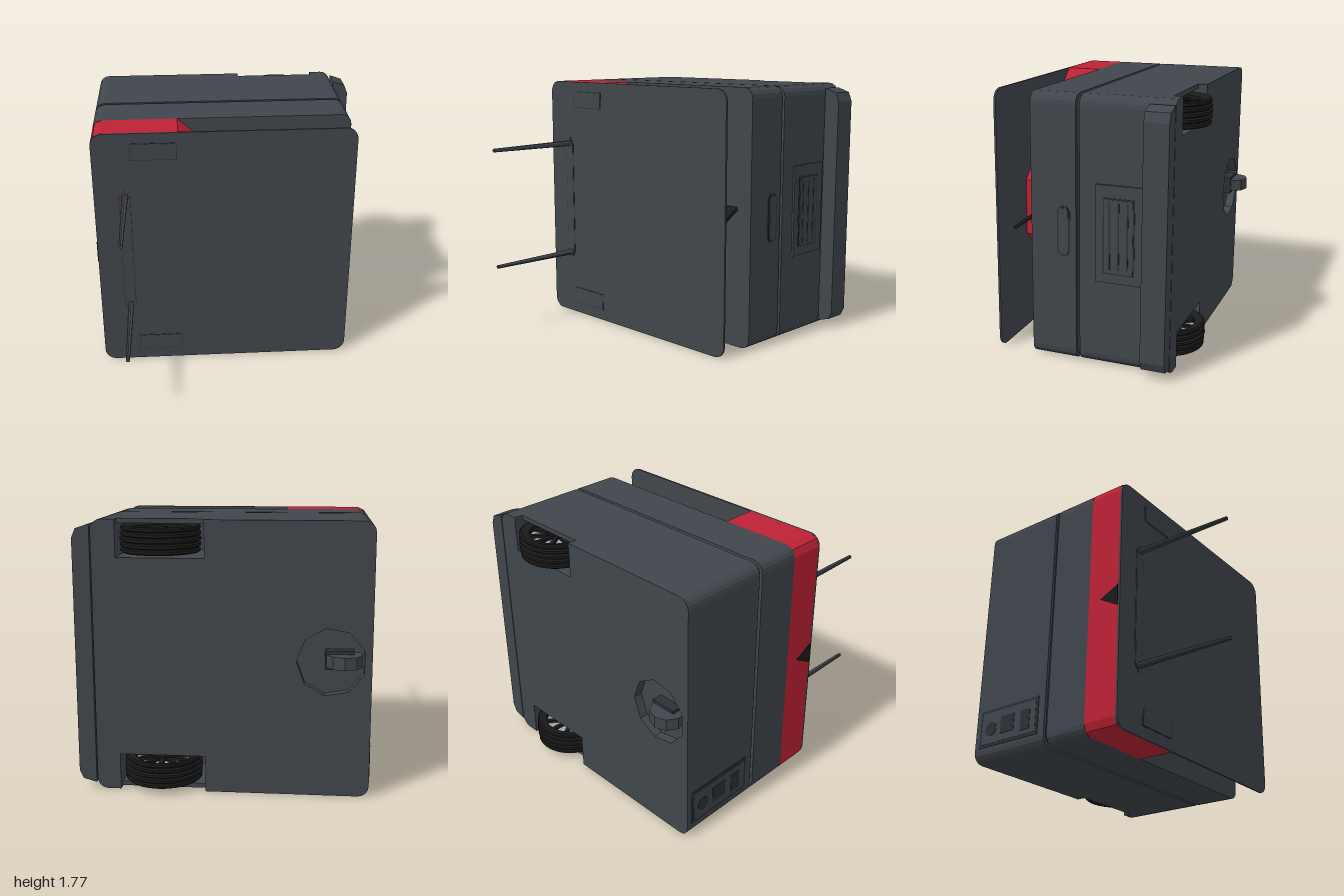
import * as THREE from 'three';

const mat = (name, color, extra = {}) => {
  const m = new THREE.MeshStandardMaterial({ color, ...extra });
  m.name = name;
  return m;
};

export function createModel() {
  const root = new THREE.Group();
  const grey = mat('charcoal shell', 0x40464c);
  const red = mat('red deck', 0xbe2235);
  const black = mat('black rubber', 0x1b1b1c);
  const silver = mat('light hub', 0xa4a4ac);
  const dark = mat('dark trim', 0x2c3035);

  const add = (name, geo, m, parent = root) => {
    const mesh = new THREE.Mesh(geo, m);
    mesh.name = name;
    parent.add(mesh);
    return mesh;
  };
  const toShape = pts => new THREE.Shape(pts.map(p => new THREE.Vector2(p[0], p[1])));
  // Prism of an x-y outline between two depths
  const prism = (name, pts, z0, z1, m, holes = []) => {
    const s = toShape(pts);
    holes.forEach(h => s.holes.push(toShape(h)));
    const g = new THREE.ExtrudeGeometry(s, { depth: z1 - z0, bevelEnabled: false });
    g.translate(0, 0, z0);
    return add(name, g, m);
  };
  const box = (name, x0, x1, y0, y1, z0, z1, m) => {
    const g = new THREE.BoxGeometry(x1 - x0, y1 - y0, z1 - z0);
    g.translate((x0 + x1) / 2, (y0 + y1) / 2, (z0 + z1) / 2);
    return add(name, g, m);
  };
  // Rounded rectangle, with optional extra points after the top right and bottom left corners
  const outline = (x0, y0, x1, y1, r, n = 4, top = [], bottom = []) => {
    const pts = [];
    const corner = (cx, cy, a) => {
      for (let i = 0; i <= n; i++) {
        const t = a + (i / n) * Math.PI / 2;
        pts.push([cx + r * Math.cos(t), cy + r * Math.sin(t)]);
      }
    };
    corner(x1 - r, y0 + r, -Math.PI / 2);
    corner(x1 - r, y1 - r, 0);
    pts.push(...top);
    corner(x0 + r, y1 - r, Math.PI / 2);
    corner(x0 + r, y0 + r, Math.PI);
    pts.push(...bottom);
    return pts;
  };
  const rect = (x0, y0, x1, y1) => [[x0, y0], [x1, y0], [x1, y1], [x0, y1]];

  const H = 1.77, X0 = -0.945, X1 = 0.825;
  const body = outline(X0, 0, X1, H, 0.07);

  // Lower body, layered around the wheel wells and the caster dish
  const wells = [rect(0.11, 0.03, 0.67, 0.24), rect(0.11, 1.53, 0.67, 1.74)];
  const dish = [];
  for (let i = 0; i < 9; i++) {
    const a = -i / 9 * Math.PI * 2;
    dish.push([-0.69 + 0.22 * Math.cos(a), 0.885 + 0.22 * Math.sin(a)]);
  }
  prism('lowerBody', body, -0.45, -0.275, grey);
  prism('wheelWellBody', body, -0.83, -0.45, grey, wells);
  prism('underside', outline(X0, 0, X1, H, 0.07, 4,
    [[0.67, H], [0.67, 1.53], [0.11, 1.53], [0.11, H]],
    [[0.11, 0], [0.11, 0.24], [0.67, 0.24], [0.67, 0]]), -0.89, -0.83, grey, [dish]);

  // Seam and upper body
  prism('seam', outline(X0 + 0.02, 0.02, X1 - 0.02, H - 0.02, 0.06), -0.28, -0.24, dark);
  prism('upperBody', body, -0.25, 0.06, grey);

  // Red deck, narrowing towards +x
  prism('redDeck', [[X0, 0.07], [X0 + 0.02, 0.02], [X0 + 0.07, 0], [-0.37, 0], [0.4, 0.69],
    [0.4, 1.08], [-0.37, H], [X0 + 0.07, H], [X0 + 0.02, H - 0.02], [X0, H - 0.07]], 0.06, 0.302, red);
  // Dark triangular window on the deck
  const win = new THREE.ExtrudeGeometry(toShape([[0.16, 0.9], [0.3, 0.82], [0.3, 0.97]]),
    { depth: 0.005, bevelEnabled: false });
  win.rotateY(-Math.PI / 2);
  win.translate(X0, 0, 0);
  add('deckWindow', win, black);

  // Cover plate with grips and antenna strip
  prism('coverPlate', outline(X0, 0, X1, H, 0.08, 6), 0.302, 0.316, grey);
  for (const y of [0.08, 1.58]) {
    box('gripFrame', -0.69, -0.38, y, y + 0.12, 0.314, 0.318, dark);
    box('grip', -0.685, -0.385, y + 0.005, y + 0.115, 0.315, 0.32, grey);
  }
  const strip = d => [[-0.738, 0.42 + d], [-0.7 - d, 0.47], [-0.7 - d, 1.31], [-0.738, 1.36 - d],
    [-0.78 + d, 1.31], [-0.78 + d, 0.47]];
  prism('antennaStripFrame', strip(0), 0.314, 0.318, dark);
  prism('antennaStrip', strip(0.004), 0.315, 0.32, grey);

  // Antennas
  for (const y of [0.47, 1.31]) {
    const base = new THREE.CylinderGeometry(0.025, 0.025, 0.006, 10);
    base.rotateX(Math.PI / 2);
    add('antennaBase', base, red).position.set(-0.738, y, 0.319);
    const rod = new THREE.CylinderGeometry(0.013, 0.022, 0.69, 10);
    rod.rotateX(Math.PI / 2);
    add('antenna', rod, grey).position.set(-0.738, y, 0.655);
  }

  // Tilted sensor plate under the cover
  const sensor = new THREE.ExtrudeGeometry(
    toShape([[0.455, 0], [0.71, 0], [0.69, 0.25], [0.49, 0.235]]), { depth: 0.022, bevelEnabled: false });
  sensor.rotateX(Math.PI / 2 + Math.atan2(0.15, 0.2));
  add('sensorPlate', sensor, black).position.set(0, 0.975, 0.065);

  // Bumper
  prism('bumper', [[0.832, 0.04], [0.92, 0.065], [0.945, 0.12], [0.945, 1.65], [0.92, 1.71],
    [0.832, 1.74]], -0.89, -0.73, grey);
  box('bumperBracket', 0.82, 0.835, 0.8, 0.97, -0.84, -0.76, dark);

  // Vent panel on the +x side
  box('ventPanel', 0.82, 0.84, 0.58, 1.22, -0.71, -0.39, grey);
  box('ventFrame', 0.838, 0.843, 0.64, 1.14, -0.65, -0.44, dark);
  box('ventFace', 0.838, 0.846, 0.65, 1.13, -0.64, -0.45, grey);
  for (const z of [-0.635, -0.575, -0.515]) {
    box('ventSlot', 0.84, 0.848, 0.67, 1.11, z + 0.025, z + 0.035, dark);
  }
  // Long eight-sided button
  const buttonShape = d => toShape([[-0.025, -0.165 + d], [0.025, -0.165 + d], [0.045 - d, -0.13],
    [0.045 - d, 0.13], [0.025, 0.165 - d], [-0.025, 0.165 - d], [-0.045 + d, 0.13], [-0.045 + d, -0.13]]);
  [[0, dark, 0.004], [0.012, grey, 0.008]].forEach(([d, m, depth]) => {
    const g = new THREE.ExtrudeGeometry(buttonShape(d), { depth, bevelEnabled: false });
    g.rotateY(Math.PI / 2);
    add('sideButton', g, m).position.set(X1, 0.885, -0.165);
  });

  // Socket panel on the -x side
  box('socketPanel', X0 - 0.004, X0 + 0.01, 0.09, 0.35, -0.85, -0.33, dark);
  box('socketFace', X0 - 0.006, X0 + 0.01, 0.11, 0.33, -0.83, -0.35, grey);
  const socket = new THREE.CylinderGeometry(0.05, 0.05, 0.02, 12);
  socket.rotateZ(Math.PI / 2);
  add('roundSocket', socket, dark).position.set(X0 + 0.001, 0.21, -0.75);
  box('squareSocket', X0 - 0.009, X0 + 0.01, 0.16, 0.28, -0.66, -0.54, dark);
  box('switch', X0 - 0.009, X0 + 0.01, 0.14, 0.28, -0.48, -0.4, dark);

  // Ribbed wheels on axles along y
  const profile = [[0.19, -0.07], [0.235, -0.083]];
  for (let i = 0; i < 5; i++) {
    const y = -0.07 + i * 0.035;
    profile.push([0.244, y - 0.016], [0.26 - 0.003 * Math.abs(i - 2), y - 0.008],
      [0.26 - 0.003 * Math.abs(i - 2), y + 0.008], [0.244, y + 0.016]);
  }
  profile.push([0.235, 0.083], [0.19, 0.07], [0.19, -0.07]);
  const tyreGeo = new THREE.LatheGeometry(profile.map(p => new THREE.Vector2(...p)), 28).toNonIndexed();
  tyreGeo.computeVertexNormals();
  for (const y of [0.13, 1.64]) {
    const wheel = new THREE.Group();
    wheel.name = 'wheel';
    wheel.position.set(0.405, y, -0.74);
    root.add(wheel);
    add('tyre', tyreGeo, black, wheel);
    add('hubDisc', new THREE.CylinderGeometry(0.195, 0.195, 0.07, 24), silver, wheel);
    add('hubCap', new THREE.CylinderGeometry(0.06, 0.06, 0.13, 12), black, wheel);
    for (let i = 0; i < 10; i++) {
      const spoke = new THREE.BoxGeometry(0.15, 0.11, 0.028);
      spoke.translate(0.125, 0, 0);
      add('spoke', spoke, black, wheel).rotation.y = (i + 0.5) / 10 * Math.PI * 2;
    }
  }

  // Caster: a faceted wheel in the dish
  const caster = new THREE.CylinderGeometry(0.115, 0.115, 0.08, 9);
  caster.rotateY(Math.PI);
  add('casterWheel', caster, grey).position.set(-0.77, 0.9, -0.885);
  box('casterFork', -0.83, -0.65, 0.84, 0.96, -0.9, -0.82, dark);

  // Flat shading everywhere
  [grey, red, black, silver, dark].forEach(m => { m.flatShading = true; });
  return root;
}
